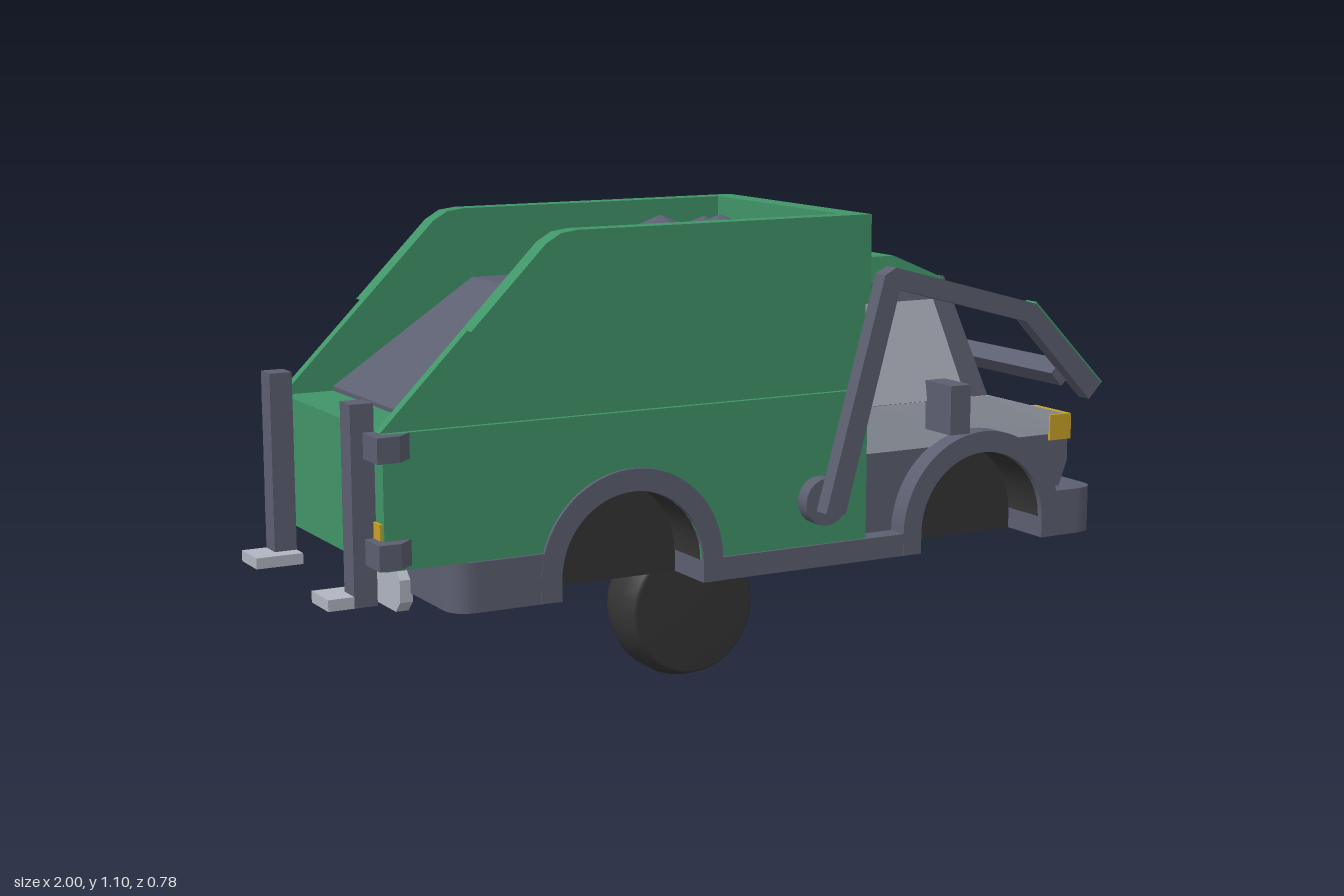
import * as THREE from 'three';
import { ConvexGeometry } from 'three/addons/geometries/ConvexGeometry.js';

const mat = (name, color, side = THREE.FrontSide) => {
  const m = new THREE.MeshStandardMaterial({ color, side });
  m.name = name;
  return m;
};

export function createModel() {
  const truck = new THREE.Group();
  truck.name = 'garbageTruck';
  const green = mat('green paint', 0x409468, THREE.DoubleSide);
  const gray = mat('slate gray', 0x5c5f70);
  const light = mat('light gray', 0xb0b5c1, THREE.DoubleSide);
  const dark = mat('rubber black', 0x353535, THREE.DoubleSide);
  const yellow = mat('lamp yellow', 0xc9a227);

  const add = (name, geo, m) => {
    const mesh = new THREE.Mesh(geo, m);
    mesh.name = name;
    truck.add(mesh);
    return mesh;
  };
  // Box given by its limits on each axis
  const box = (name, m, x0, x1, y0, y1, z0, z1) =>
    add(name, new THREE.BoxGeometry(x1 - x0, y1 - y0, z1 - z0), m)
      .position.set((x0 + x1) / 2, (y0 + y1) / 2, (z0 + z1) / 2);
  const poly = pts => new THREE.Shape(pts.map(p => new THREE.Vector2(...p)));
  // Side profile extruded from z0 to z1
  const extrude = (name, m, shape, z0, z1) => {
    const geo = new THREE.ExtrudeGeometry(shape, { depth: z1 - z0, bevelEnabled: false, curveSegments: 20 });
    return add(name, geo.translate(0, 0, z0), m);
  };
  const hull = (name, m, pts) =>
    add(name, new ConvexGeometry(pts.map(p => new THREE.Vector3(...p))), m);
  // Symmetric hull from points with z as half width
  const symHull = (name, m, pts) => hull(name, m, pts.flatMap(([x, y, z]) => [[x, y, z], [x, y, -z]]));
  // Flat single-sheet panel
  const sheet = (name, m, pts) => {
    const geo = new THREE.BufferGeometry().setFromPoints(pts.map(p => new THREE.Vector3(...p)));
    geo.setIndex(pts.slice(2).flatMap((_, i) => [0, i + 1, i + 2]));
    geo.computeVertexNormals();
    return add(name, geo, m);
  };
  const sides = fn => [1, -1].forEach(fn);
  const ARCH_Y = 0.35, ARCH_R = 0.175, ARCHES = [-0.31, 0.625];

  // Chassis
  box('chassisCore', gray, -0.73, 0.88, 0.3, 0.53, -0.18, 0.18);
  box('sideSill', gray, -0.135, 0.45, 0.3, 0.352, -0.317, 0.317);
  const bumper = (name, xIn, xOut) => {
    const d = Math.sign(xOut - xIn), r = 0.06, w = 0.317;
    const s = new THREE.Shape();
    s.moveTo(xIn, -w);
    s.lineTo(xOut - d * r, -w);
    s.quadraticCurveTo(xOut, -w, xOut, -w + r);
    s.lineTo(xOut, w - r);
    s.quadraticCurveTo(xOut, w, xOut - d * r, w);
    s.lineTo(xIn, w);
    const geo = new THREE.ExtrudeGeometry(s, { depth: 0.11, bevelEnabled: false });
    add(name, geo.rotateX(-Math.PI / 2).translate(0, 0.3, 0), gray);
  };
  bumper('frontBumper', 0.8, 0.965);
  bumper('rearBumper', -0.485, -0.74);

  // Octagonal bumper pads
  const pad = (name, x0, x1, y) => {
    const oct = [[0.06, 0.05], [0.085, 0.025]].flatMap(([z, h]) => [[z, h], [z, -h]]);
    symHull(name, light, oct.flatMap(([z, h]) => [[x0, y + h, z], [x1, y + h, z]]));
  };
  pad('frontPad', 0.96, 1.0, 0.315);
  pad('rearPad', -0.765, -0.735, 0.305);

  // Wheel arches with recessed liners
  const archPath = (s, cx, r) => {
    s.lineTo(cx - r, ARCH_Y);
    s.absarc(cx, ARCH_Y, r, Math.PI, 0, true);
  };
  for (const cx of ARCHES) {
    const fender = new THREE.Shape();
    fender.moveTo(cx - 0.225, 0.3);
    archPath(fender, cx, 0.225);
    fender.lineTo(cx + 0.225, 0.3);
    fender.lineTo(cx + ARCH_R, 0.3);
    fender.lineTo(cx + ARCH_R, ARCH_Y);
    fender.absarc(cx, ARCH_Y, ARCH_R, 0, Math.PI, false);
    fender.lineTo(cx - ARCH_R, 0.3);
    const wall = new THREE.Shape();
    wall.moveTo(cx - ARCH_R, 0.3);
    archPath(wall, cx, ARCH_R);
    wall.lineTo(cx + ARCH_R, 0.3);
    sides(s => {
      const span = (a, b) => (s > 0 ? [a, b] : [-b, -a]);
      extrude('fender', gray, fender, ...span(0.18, 0.318));
      extrude('archWall', dark, wall, ...span(0.178, 0.186));
      const liner = new THREE.CylinderGeometry(0.1735, 0.1735, 0.12, 24, 1, true, Math.PI / 2, Math.PI);
      add('archLiner', liner.rotateX(Math.PI / 2), dark).position.set(cx, ARCH_Y, s * 0.245);
    });
  }

  // Container: lower tub, walls and rim
  const tub = new THREE.Shape();
  tub.moveTo(-0.89, 0.41);
  tub.lineTo(-0.485, 0.41);
  archPath(tub, ARCHES[0], ARCH_R);
  [[0.3, 0.35], [0.3, 0.7], [-0.89, 0.7]].forEach(p => tub.lineTo(...p));
  extrude('lowerTub', green, tub, -0.309, 0.309);
  const midWall = poly([[-0.89, 0.7], [0.3, 0.7], [0.3, 0.9], [-0.69, 0.9]]);
  const topWall = poly([[-0.69, 0.9], [0.3, 0.9], [0.3, 1.1], [-0.44, 1.1], [-0.48, 1.095], [-0.515, 1.075]]);
  sides(s => {
    extrude('middleWall', green, midWall, s > 0 ? 0.27 : -0.296, s > 0 ? 0.296 : -0.27);
    extrude('upperWall', green, topWall, s > 0 ? 0.27 : -0.317, s > 0 ? 0.317 : -0.27);
  });
  box('frontWall', green, 0.24, 0.3, 0.7, 1.1, -0.275, 0.275);

  // Load and rubble
  symHull('load', gray, [[-0.77, 0.69, 0.272], [0.245, 0.69, 0.272], [-0.77, 0.71, 0.272],
    [-0.42, 0.94, 0.272], [0.245, 0.94, 0.272]]);
  hull('loadMound', gray, [[-0.22, 0.93, -0.05], [0.05, 0.93, -0.25], [0.2, 0.93, -0.2], [0.2, 0.93, 0.15],
    [-0.05, 0.93, 0.2], [0.02, 1.0, -0.12], [0.05, 1.0, 0.05]]);
  [[-0.275, -0.13, 0.075, 0.97], [0.14, -0.165, 0.065, 1.0], [-0.04, -0.05, 0.11, 0.975],
    [0.03, 0.1, 0.165, 0.93], [-0.31, 0.07, 0.065, 0.97], [-0.26, 0.16, 0.12, 0.95]].forEach(([x, z, r, y], i) => {
    const geo = new THREE.SphereGeometry(r, 6, 4).toNonIndexed();
    geo.computeVertexNormals();
    const rock = add('rubble', geo, gray);
    rock.position.set(x, y, z);
    rock.rotation.y = i * 0.3;
  });

  // Cab
  const cab = new THREE.Shape();
  cab.moveTo(0.3, 0.32);
  cab.lineTo(0.45, 0.32);
  archPath(cab, ARCHES[1], ARCH_R);
  [[0.8, 0.4], [0.885, 0.4], [0.912, 0.47], [0.912, 0.545], [0.3, 0.545]].forEach(p => cab.lineTo(...p));
  extrude('cabLower', gray, cab, -0.266, 0.266);
  symHull('cabBelt', light, [[0.3, 0.54, 0.27], [0.908, 0.54, 0.268], [0.908, 0.585, 0.265],
    [0.67, 0.65, 0.268], [0.3, 0.65, 0.27]]);
  box('noseStrip', gray, 0.905, 0.913, 0.53, 0.583, -0.265, 0.265);
  symHull('cabFrame', gray, [[0.3, 0.65, 0.27], [0.67, 0.65, 0.265], [0.3, 0.935, 0.22], [0.57, 0.935, 0.22]]);
  symHull('cabRoof', green, [[0.3, 0.93, 0.222], [0.57, 0.93, 0.222], [0.43, 0.99, 0.215], [0.3, 0.99, 0.215]]);

  // Glass
  const shieldX = y => 0.67 - (y - 0.65) * 0.351 + 0.005;
  sheet('windshield', light, [[0.875, 0.18], [0.865, 0.19], [0.65, 0.22], [0.65, -0.22], [0.865, -0.19],
    [0.875, -0.18]].map(([y, z]) => [shieldX(y), y, z]));
  const sideZ = y => 0.27 - (y - 0.65) * 0.175 + 0.005;
  sides(s => sheet('sideWindow', light, [[0.305, 0.885], [0.53, 0.885], [0.6, 0.652], [0.305, 0.652]]
    .map(([x, y]) => [x, y, s * sideZ(y)])));

  // Wheel with hub on one face
  const tyrePts = [[0, -0.072], [0.15, -0.072], [0.158, -0.066], [0.172, -0.025],
    [0.172, 0.025], [0.158, 0.066], [0.15, 0.072], [0, 0.072]];
  const tyre = new THREE.LatheGeometry(tyrePts.map(p => new THREE.Vector2(...p)), 28).rotateX(Math.PI / 2);
  add('tyre', tyre, dark).position.set(-0.02, 0.174, 0);
  [[0.095, 0.006, gray], [0.075, 0.01, light], [0.062, 0.014, gray], [0.035, 0.022, light], [0.02, 0.026, gray]]
    .forEach(([r, h, m]) => add('wheelHub', new THREE.CylinderGeometry(r, r, h, 20).rotateX(Math.PI / 2), m)
      .position.set(-0.02, 0.174, -0.072 - h / 2));

  // Lifting arms
  const arm = poly([[0.14, 0.44], [0.165, 0.43], [0.192, 0.435], [0.33, 0.935], [0.685, 0.84], [0.875, 0.642],
    [0.91, 0.678], [0.71, 0.88], [0.32, 0.985], [0.29, 0.97]]);
  sides(s => {
    const span = (a, b) => (s > 0 ? [a, b] : [-b, -a]);
    extrude('liftArm', gray, arm, ...span(0.35, 0.39));
    extrude('armTopStripe', green, poly([[0.71, 0.88], [0.91, 0.678], [0.913, 0.681], [0.713, 0.884]]), ...span(0.35, 0.39));
    add('armPivot', new THREE.CylinderGeometry(0.055, 0.055, 0.06, 20).rotateX(Math.PI / 2), gray)
      .position.set(0.17, 0.457, s * 0.316);
    box('armPin', gray, 0.15, 0.185, 0.44, 0.475, ...span(0.33, 0.36));
    box('mirror', gray, 0.49, 0.545, 0.585, 0.7, ...span(0.23, 0.37));
    box('headlight', yellow, 0.853, 0.916, 0.525, 0.587, ...span(0.133, 0.273));
    box('tailLight', yellow, -0.896, -0.885, 0.42, 0.51, ...span(0.22, 0.3));

    // Rear lift forks
    box('forkPost', gray, -0.942, -0.89, 0.33, 0.76, ...span(0.21, 0.265));
    box('forkFoot', light, -1.0, -0.89, 0.33, 0.355, ...span(0.17, 0.265));
    [0.42, 0.645].forEach(y => hull('forkBracket', gray, [y, y + 0.055].flatMap(h =>
      [[-0.915, 0.22], [-0.915, 0.342], [-0.865, 0.342], [-0.83, 0.31], [-0.83, 0.22]].map(([x, z]) => [x, h, s * z]))));
  });
  const bar = add('armCrossbar', new THREE.BoxGeometry(0.045, 0.045, 0.71), gray);
  bar.position.set(0.82, 0.705, 0);
  bar.rotation.z = -0.8;

  return truck;
}
